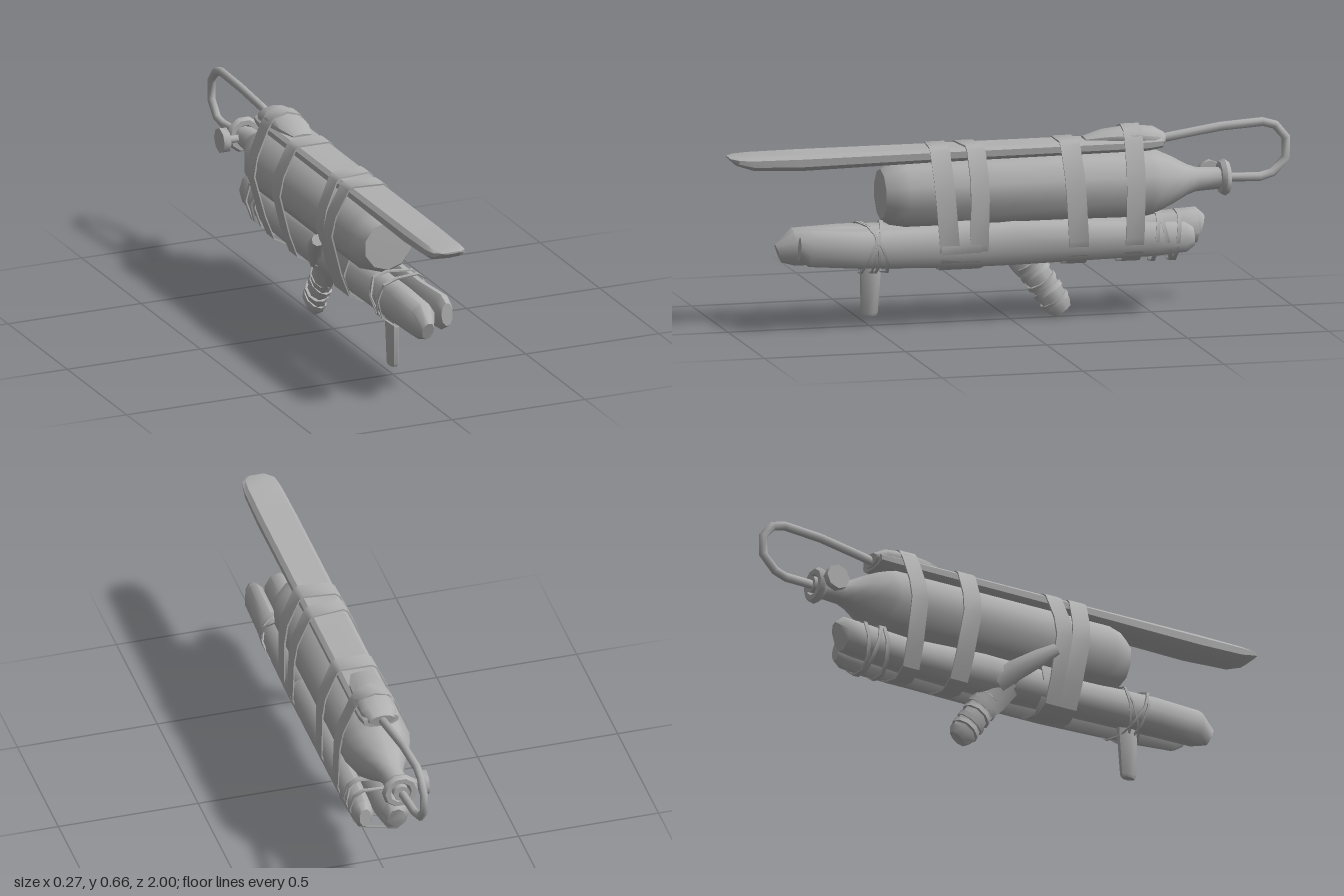
import * as THREE from 'three';
import { toCreasedNormals } from 'three/addons/utils/BufferGeometryUtils.js';

const V = (x, y, z) => new THREE.Vector3(x, y, z);

export function createModel() {
  const model = new THREE.Group();
  const grey = new THREE.MeshStandardMaterial({ color: 0xb0b0b0 });
  grey.name = 'plain grey';

  function add(name, geometry, crease = 0.9) {
    const mesh = new THREE.Mesh(toCreasedNormals(geometry, crease), grey);
    mesh.name = name;
    model.add(mesh);
    return mesh;
  }

  // Skin a list of rings of points and close both ends
  function skin(rings) {
    const n = rings[0].length;
    const pos = rings.flat().flatMap((p) => [p.x, p.y, p.z]);
    const index = [];
    for (let r = 0; r < rings.length - 1; r++) {
      for (let i = 0; i < n; i++) {
        const a = r * n + i, b = r * n + (i + 1) % n;
        index.push(a, b, b + n, a, b + n, a + n);
      }
    }
    const last = (rings.length - 1) * n;
    for (let i = 1; i < n - 1; i++) {
      index.push(0, i + 1, i, last, last + i, last + i + 1);
    }
    const g = new THREE.BufferGeometry();
    g.setAttribute('position', new THREE.Float32BufferAttribute(pos, 3));
    g.setIndex(index);
    return g;
  }

  // Oval limb through stations [x, y, z, radius across, radius other way]
  function limb(stations, sides) {
    const pts = stations.map((s) => V(s[0], s[1], s[2]));
    return skin(stations.map((s, k) => {
      const t = pts[Math.min(k + 1, pts.length - 1)].clone().sub(pts[Math.max(k - 1, 0)]).normalize();
      const u = V(1, 0, 0).addScaledVector(t, -t.x).normalize();
      const v = t.clone().cross(u);
      return Array.from({ length: sides }, (_, i) => {
        const a = ((i + 0.5) / sides) * Math.PI * 2;
        return pts[k].clone().addScaledVector(u, Math.cos(a) * s[3]).addScaledVector(v, Math.sin(a) * s[4]);
      });
    }));
  }

  // Closed band around an outline in x and y, sheared along z
  function band(name, outline, z, width, slant = 0, twist = 0, thick = 0.006) {
    const pts = outline.map(([x, y]) => new THREE.Vector2(x, y));
    const mid = pts.reduce((m, p) => m.add(p), new THREE.Vector2()).divideScalar(pts.length);
    const inner = pts.map((p) => p.clone().sub(mid).setLength(p.distanceTo(mid) - thick).add(mid));
    const shape = new THREE.Shape(pts);
    shape.holes.push(new THREE.Path(inner));
    const g = new THREE.ExtrudeGeometry(shape, { depth: width, bevelEnabled: false });
    g.translate(0, 0, z - width / 2);
    const p = g.attributes.position;
    for (let i = 0; i < p.count; i++) {
      p.setZ(i, p.getZ(i) + slant * (p.getY(i) - mid.y) + twist * (p.getX(i) - mid.x));
    }
    return add(name, g, 0.7);
  }

  // Long flat-topped slat with a bevelled nose
  const section = [[0.055, 0.006], [-0.055, 0.006], [-0.069, -0.008], [-0.067, -0.035],
    [-0.045, -0.052], [0, -0.057], [0.045, -0.052], [0.067, -0.035], [0.069, -0.008]];
  const slat = [[-0.53, 0.9, 0.6], [-0.48, 1, 0.75], [0.3, 1, 0.85], [0.75, 1, 1],
    [0.92, 0.95, 0.85], [0.975, 0.85, 0.5], [1, 0.45, 0.1]];
  add('topSlat', skin(slat.map(([z, w, h]) => section.map(([x, y]) => V(x * w, 0.617 + y * h, z)))), 0.6);

  // Raised pad at the rear of the slat
  add('rearPad', limb([[0, 0.622, -0.26, 0.035, 0.008], [0, 0.625, -0.33, 0.058, 0.027], [0, 0.625, -0.43, 0.066, 0.039],
    [0, 0.618, -0.5, 0.064, 0.038], [0, 0.612, -0.54, 0.045, 0.022]], 10));

  // Bottle with rounded nose, shoulder and neck
  const profile = [[0, -0.462], [0.088, -0.46], [0.108, -0.43], [0.121, -0.38], [0.121, 0.48], [0.113, 0.51], [0.085, 0.57],
    [0.054, 0.625], [0.042, 0.66], [0.038, 0.74], [0, 0.745]];
  const bottle = new THREE.LatheGeometry(profile.map(([r, y]) => new THREE.Vector2(r, y)), 10);
  bottle.rotateX(-Math.PI / 2).translate(0, 0.462, 0);
  add('bottle', bottle, 0.8);

  // Valve collar, outlet, stem and knob
  const collar = new THREE.TorusGeometry(0.047, 0.018, 6, 10);
  collar.translate(0, 0.465, -0.757);
  add('valveCollar', collar);
  const outlet = new THREE.CylinderGeometry(0.03, 0.03, 0.05, 8);
  outlet.rotateX(Math.PI / 2).translate(0, 0.465, -0.755);
  add('valveOutlet', outlet);
  const stem = new THREE.CylinderGeometry(0.014, 0.014, 0.1, 8);
  stem.rotateZ(Math.PI / 2).translate(-0.045, 0.465, -0.725);
  add('valveStem', stem);
  const knob = new THREE.CylinderGeometry(0.045, 0.045, 0.026, 8);
  knob.rotateZ(Math.PI / 2).translate(-0.09, 0.465, -0.73);
  add('valveKnob', knob);

  // Bent hose from the pad round to the valve
  const hose = [[0, 0.605, -0.5], [-0.005, 0.62, -0.6], [-0.015, 0.64, -0.75], [-0.02, 0.648, -0.9], [-0.02, 0.635, -0.945],
    [-0.02, 0.59, -0.983], [-0.02, 0.52, -0.983], [-0.02, 0.47, -0.935], [-0.015, 0.458, -0.89], [0, 0.463, -0.75]];
  add('hose', limb(hose.map((p) => [...p, 0.014, 0.016]), 8), 1.2);

  // Pair of rough logs under the bottle
  add('mainLog', limb([[-0.01, 0.27, 0.82, 0.022, 0.035], [-0.01, 0.29, 0.765, 0.052, 0.068], [-0.012, 0.292, 0.6, 0.056, 0.072],
    [-0.01, 0.285, 0.25, 0.06, 0.07], [-0.01, 0.285, -0.1, 0.066, 0.078], [-0.01, 0.28, -0.4, 0.058, 0.066],
    [-0.01, 0.295, -0.6, 0.055, 0.066], [-0.01, 0.3, -0.66, 0.05, 0.064], [-0.01, 0.295, -0.677, 0.032, 0.045]], 9));
  add('sideLog', limb([[0.085, 0.3, 0.768, 0.022, 0.042], [0.085, 0.298, 0.73, 0.036, 0.064], [0.084, 0.285, 0.55, 0.038, 0.066],
    [0.085, 0.28, 0.2, 0.041, 0.073], [0.085, 0.285, 0, 0.042, 0.078], [0.085, 0.28, -0.3, 0.041, 0.068],
    [0.085, 0.275, -0.5, 0.04, 0.06], [0.085, 0.278, -0.6, 0.036, 0.054], [0.085, 0.28, -0.628, 0.022, 0.035]], 9));

  // Branch running from the rear grip up through to a stub on the side
  const grip = [[0.005, 0.025, -0.185, 0.02, 0.035], [0.004, 0.048, -0.168, 0.037, 0.05], [0, 0.13, -0.115, 0.034, 0.048],
    [-0.005, 0.2, -0.06, 0.038, 0.06], [-0.03, 0.27, -0.01, 0.042, 0.06]];
  add('rearGrip', limb(grip, 8));
  add('branchStub', limb([[-0.03, 0.25, -0.05, 0.04, 0.045], [-0.065, 0.3, 0, 0.034, 0.04],
    [-0.1, 0.355, 0.08, 0.028, 0.032], [-0.12, 0.392, 0.135, 0.02, 0.022]], 8));

  // Wrapped strips on the rear grip
  for (let k = 0; k < 5; k++) {
    const y = 0.065 + k * 0.033, z = -0.157 + k * 0.0225;
    const wrap = new THREE.CylinderGeometry(1, 1, 0.019, 10);
    wrap.scale(0.041, 1, 0.053 + k * 0.001);
    wrap.rotateZ(k % 2 ? 0.2 : -0.15).rotateX(0.58).translate(0, y, z);
    add('gripWrap', wrap);
  }

  // Front peg handle
  add('frontGrip', limb([[0, 0.25, 0.495, 0.024, 0.042], [0, 0.2, 0.495, 0.022, 0.038],
    [0, 0.05, 0.5, 0.019, 0.031], [0, 0.04, 0.5, 0.014, 0.025]], 8));

  // Straps around the whole bundle
  const lower = [[0.127, 0.45], [0.131, 0.29], [0.113, 0.235], [0.07, 0.202], [-0.005, 0.188],
    [-0.055, 0.215], [-0.088, 0.3], [-0.128, 0.45]];
  const full = [[-0.115, 0.52], [-0.072, 0.615], [-0.055, 0.628], [0.055, 0.628], [0.072, 0.615], [0.115, 0.52], ...lower];
  const overPad = [[-0.115, 0.52], [-0.074, 0.615], [-0.05, 0.653], [0, 0.669], [0.05, 0.653], [0.074, 0.615], [0.115, 0.52], ...lower];
  band('frontStrap', full, 0.245, 0.07, 0.08, 0.1);
  band('frontStrap', full, 0.152, 0.065, -0.03, -0.12);
  band('middleStrap', full, -0.205, 0.07, 0.05);
  band('rearStrap', overPad, -0.415, 0.065, -0.03);

  // Wide strap and cords around the two logs only
  const logs = [[-0.055, 0.355], [0, 0.372], [0.085, 0.37], [0.118, 0.345], [0.132, 0.29], [0.113, 0.232],
    [0.07, 0.2], [-0.005, 0.19], [-0.052, 0.225], [-0.075, 0.295]];
  band('logStrap', logs, 0.195, 0.14, 0, 0.1);
  [[0.5, 0.45], [0.5, -0.45], [0.515, 0.15], [0.485, -0.2]].forEach(([z, slant], k) =>
    band('frontCord', logs, z, 0.008, slant, k % 2 ? 0.2 : -0.2));
  [-0.5, -0.535, -0.575].forEach((z, k) => band('rearCord', logs.map(([x, y]) => [x * 0.96, y * 0.98]), z, 0.014, k % 2 ? 0.25 : -0.1, 0.1));

  return model;
}
